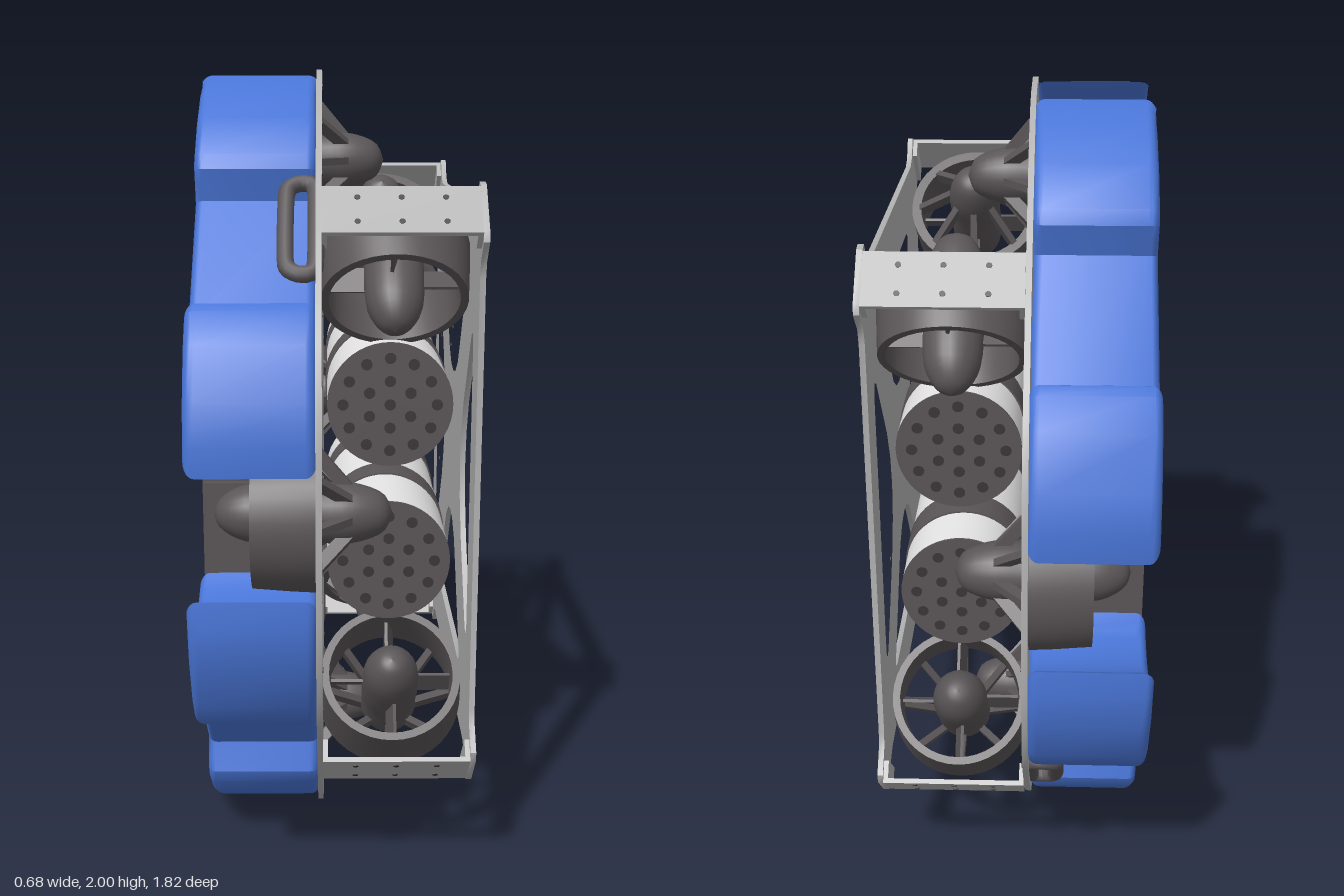
import * as THREE from 'three';
import { toCreasedNormals } from 'three/addons/utils/BufferGeometryUtils.js';

const mat = (name, color, side = THREE.FrontSide) => {
  const m = new THREE.MeshStandardMaterial({ color, side });
  m.name = name;
  return m;
};

export function createModel() {
  const grey = mat('plate grey', 0xb2b2b2);
  const blue = mat('float blue', 0x4a76d8);
  const dark = mat('dark plastic', 0x5a5557, THREE.DoubleSide);
  const black = mat('hole black', 0x3a3638);
  const white = mat('tube white', 0xe6e6e6);

  // Body space: u = across, v = up from the middle, d = depth through the plates
  const body = new THREE.Group();
  body.name = 'body';
  body.rotation.y = Math.PI / 2;
  body.position.y = 1;

  const add = (parent, name, geo, m, x = 0, y = 0, z = 0) => {
    const mesh = new THREE.Mesh(geo, m);
    mesh.name = name;
    mesh.position.set(x, y, z);
    parent.add(mesh);
    return mesh;
  };
  const V = (p) => p.map(([x, y]) => new THREE.Vector2(x, y));
  const arc = (cx, cy, r, a0, a1, n = 14) => Array.from({ length: n + 1 }, (_, i) => {
    const a = THREE.MathUtils.degToRad(a0 + (a1 - a0) * i / n);
    return [cx + r * Math.cos(a), cy + r * Math.sin(a)];
  });
  // A quarter outline, from the top middle to the right middle, mirrored all round
  const fourfold = (q) => {
    const right = [...q, ...q.slice(0, -1).reverse().map(([x, y]) => [x, -y])];
    return [...right, ...right.slice(1, -1).reverse().map(([x, y]) => [-x, y])];
  };
  const extrude = (shape, depth, opts = {}) => toCreasedNormals(
    new THREE.ExtrudeGeometry(shape, { depth, bevelEnabled: false, curveSegments: 32, ...opts }), 0.6);
  const quads = [[1, 1], [-1, 1], [-1, -1], [1, -1]];

  // Round base plate with four thruster openings
  const thrusterSpots = [[0, 0.77], [0, -0.77], [0.68, 0], [-0.68, 0]];
  const base = new THREE.Shape(V(fourfold([[0, 1], [0.1, 1], [0.19, 0.985], [0.28, 0.95], [0.36, 0.9], [0.52, 0.765],
    [0.65, 0.64], [0.78, 0.5], [0.84, 0.42], [0.885, 0.31], [0.91, 0.19], [0.91, 0]])));
  for (const [x, y] of thrusterSpots) base.holes.push(new THREE.Path().absarc(x, y, 0.188, 0, Math.PI * 2, true));
  add(body, 'basePlate', extrude(base, 0.014), grey, 0, 0, -0.054);

  // Square outer plate with corner ears and an X of arms
  const cover = new THREE.Shape(V(fourfold([[0, 0.68], [0.46, 0.68], [0.5, 0.695], [0.54, 0.745], [0.565, 0.74],
    [0.655, 0.645], [0.66, 0.62], [0.61, 0.57], [0.6, 0.53], [0.6, 0]])));
  const topHole = [[0, 0.53], [0.29, 0.53], [0.318, 0.515], [0.31, 0.49], [0.165, 0.3], [0.12, 0.245], [0.06, 0.21]];
  const sideHole = [[0.24, 0], [0.255, 0.09], [0.3, 0.18], [0.45, 0.375], [0.475, 0.385], [0.49, 0.36]];
  for (const s of [1, -1]) {
    cover.holes.push(new THREE.Path(V([...topHole.map(([x, y]) => [x, y * s]), [0, 0.2 * s],
      ...topHole.slice(1).reverse().map(([x, y]) => [-x, y * s])])));
    cover.holes.push(new THREE.Path(V([...sideHole.map(([x, y]) => [x * s, y]),
      ...sideHole.slice(1).reverse().map(([x, y]) => [x * s, -y])])));
  }
  add(body, 'coverPlate', extrude(cover, 0.014), grey, 0, 0, 0.32);

  // Small fastener holes on the cover and the base
  const dot = new THREE.CylinderGeometry(0.007, 0.007, 0.003, 10).rotateX(Math.PI / 2);
  for (const [sx, sy] of quads) {
    const spots = [[0.08, 0.61], [0.24, 0.61], [0.4, 0.61], [0.56, 0.67], [0.56, 0.52], [0.56, 0.36], [0.56, 0.2],
      [0.56, 0.06], [0.4, 0.4], [0.23, 0.23], [0.12, 0.12], [0.18, 0.29]];
    for (const [x, y] of spots) add(body, 'fastener', dot, black, x * sx, y * sy, 0.3335);
    for (const [x, y] of [[0.1, 0.96], [0.3, 0.87], [0.45, 0.76], [0.73, 0.47], [0.82, 0.33], [0.88, 0.14]]) {
      add(body, 'fastener', dot, black, x * sx, y * sy, -0.04);
    }
  }

  // Blue foam floats, one per quarter, hollowed round the thrusters and recessed for the handles
  const floatOutline = [...arc(0, 0.77, 0.235, 52, -45), [0.28, 0.555], [0.43, 0.555], [0.455, 0.3],
    ...arc(0.68, 0, 0.238, 125, 42), [0.89, 0.14], [0.895, 0.21], [0.878, 0.3], [0.825, 0.42], [0.775, 0.485],
    [0.745, 0.497], [0.715, 0.485], [0.675, 0.465], [0.445, 0.695], [0.455, 0.735], [0.465, 0.77],
    [0.45, 0.805], [0.36, 0.885], [0.25, 0.95], [0.18, 0.975], [0.118, 0.985]];
  for (const [sx, sy] of quads) {
    const shape = new THREE.Shape(V(floatOutline.map(([x, y]) => [x * sx, y * sy])));
    add(body, 'float', extrude(shape, 0.24, {
      bevelEnabled: true, bevelSize: 0.03, bevelThickness: 0.025, bevelOffset: -0.03, bevelSegments: 5,
    }), blue, 0, 0, -0.315);
  }

  // Two dark ballast blocks behind the base plate
  for (const s of [1, -1]) {
    add(body, 'ballastBlock', new THREE.BoxGeometry(0.84, 0.538, 0.285), dark, 0, 0.271 * s, -0.1975);
  }

  // Thruster along +z: ducted ring, pointed hub, struts and rotor blades
  const ductGeo = toCreasedNormals(new THREE.LatheGeometry(V([[0.155, -0.15], [0.174, -0.15], [0.181, -0.06], [0.184, 0],
    [0.158, 0], [0.152, -0.06], [0.155, -0.15]]), 40).rotateX(Math.PI / 2), 0.6);
  const hubGeo = new THREE.LatheGeometry(new THREE.SplineCurve(V([[0, -0.24], [0.035, -0.225], [0.065, -0.17],
    [0.072, -0.08], [0.07, 0], [0.07, 0.08], [0.045, 0.15], [0, 0.172]])).getPoints(24), 24).rotateX(Math.PI / 2);
  const strutGeo = new THREE.BoxGeometry(0.145, 0.018, 0.03);
  const bladeGeo = new THREE.BoxGeometry(0.09, 0.06, 0.008);
  const thruster = (name) => {
    const g = new THREE.Group();
    g.name = name;
    add(g, 'duct', ductGeo, dark);
    add(g, 'hub', hubGeo, dark);
    for (let i = 0; i < 8; i++) {
      const spoke = new THREE.Group();
      spoke.name = 'strutArm';
      spoke.rotation.z = i * Math.PI / 4;
      add(spoke, 'strut', strutGeo, dark, 0.11, 0, 0.025).rotation.y = 0.7;
      // Every second strut has a rotor blade behind it
      if (i % 2) add(spoke, 'rotorBlade', bladeGeo, dark, 0.105, 0, -0.09).rotation.x = 1.3;
      g.add(spoke);
    }
    body.add(g);
    return g;
  };
  for (const [x, y] of thrusterSpots) thruster('plateThruster').position.set(x, y, -0.05);
  // Corner thrusters lie across the diagonals, noses up and inward
  for (const [sx, sy] of quads) {
    const t = thruster('cornerThruster');
    t.position.set(sx * 0.417, sy * 0.575, 0.13);
    t.quaternion.setFromUnitVectors(new THREE.Vector3(0, 0, 1), new THREE.Vector3(-sx, sy, 0).normalize());
  }

  // Two white pressure tubes with clamp bands and drilled end caps
  const along = (r, len, n = 48) => new THREE.CylinderGeometry(r, r, len, n).rotateZ(Math.PI / 2);
  const capHole = along(0.014, 0.004, 14);
  for (const y of [0.205, -0.195]) {
    add(body, 'pressureTube', along(0.154, 0.9), white, 0, y, 0.125);
    for (const x of [-0.15, 0.26]) add(body, 'clampBand', along(0.158, 0.105), dark, x, y, 0.125);
    for (const s of [1, -1]) {
      add(body, 'endCap', along(0.154, 0.006), dark, s * 0.453, y, 0.125);
      for (const [n, r] of [[1, 0], [6, 0.058], [12, 0.115]]) {
        for (let i = 0; i < n; i++) {
          const a = i * Math.PI * 2 / n;
          add(body, 'capHole', capHole, black, s * 0.4555, y + r * Math.cos(a), 0.125 + r * Math.sin(a));
        }
      }
    }
  }

  // Corner brackets joining the two plates
  const boltDot = along(0.007, 0.003, 10);
  for (const [sx, sy] of quads) {
    const g = new THREE.Group();
    g.name = 'cornerBracket';
    g.position.set(sx * 0.61, sy * 0.685, 0.14);
    g.rotation.z = Math.atan2(sy, sx);
    add(g, 'bracketWeb', new THREE.BoxGeometry(0.012, 0.135, 0.36), grey);
    for (const d of [-0.174, 0.174]) add(g, 'bracketFlange', new THREE.BoxGeometry(0.05, 0.135, 0.012), grey, -0.025, 0, d);
    for (const d of [-0.1, 0, 0.1]) for (const y of [-0.035, 0.035]) add(g, 'bracketHole', boltDot, black, 0.006, y, d);
    body.add(g);
  }

  // Loop handles on two opposite corners
  const loop = new THREE.CatmullRomCurve3([[-0.13, 0], [-0.13, -0.03], [-0.1, -0.055], [0.1, -0.055], [0.13, -0.03],
    [0.13, 0], [0.1, 0.012], [-0.1, 0.012]].map(([t, d]) => new THREE.Vector3(0, t, d)), true, 'catmullrom', 0.3);
  for (const s of [1, -1]) {
    const h = add(body, 'handle', new THREE.TubeGeometry(loop, 60, 0.02, 10, true), dark, -0.585 * s, 0.645 * s, -0.066);
    h.rotation.z = Math.atan2(s, -s);
  }

  const model = new THREE.Group();
  model.name = 'underwaterVehicle';
  model.add(body);
  return model;
}
